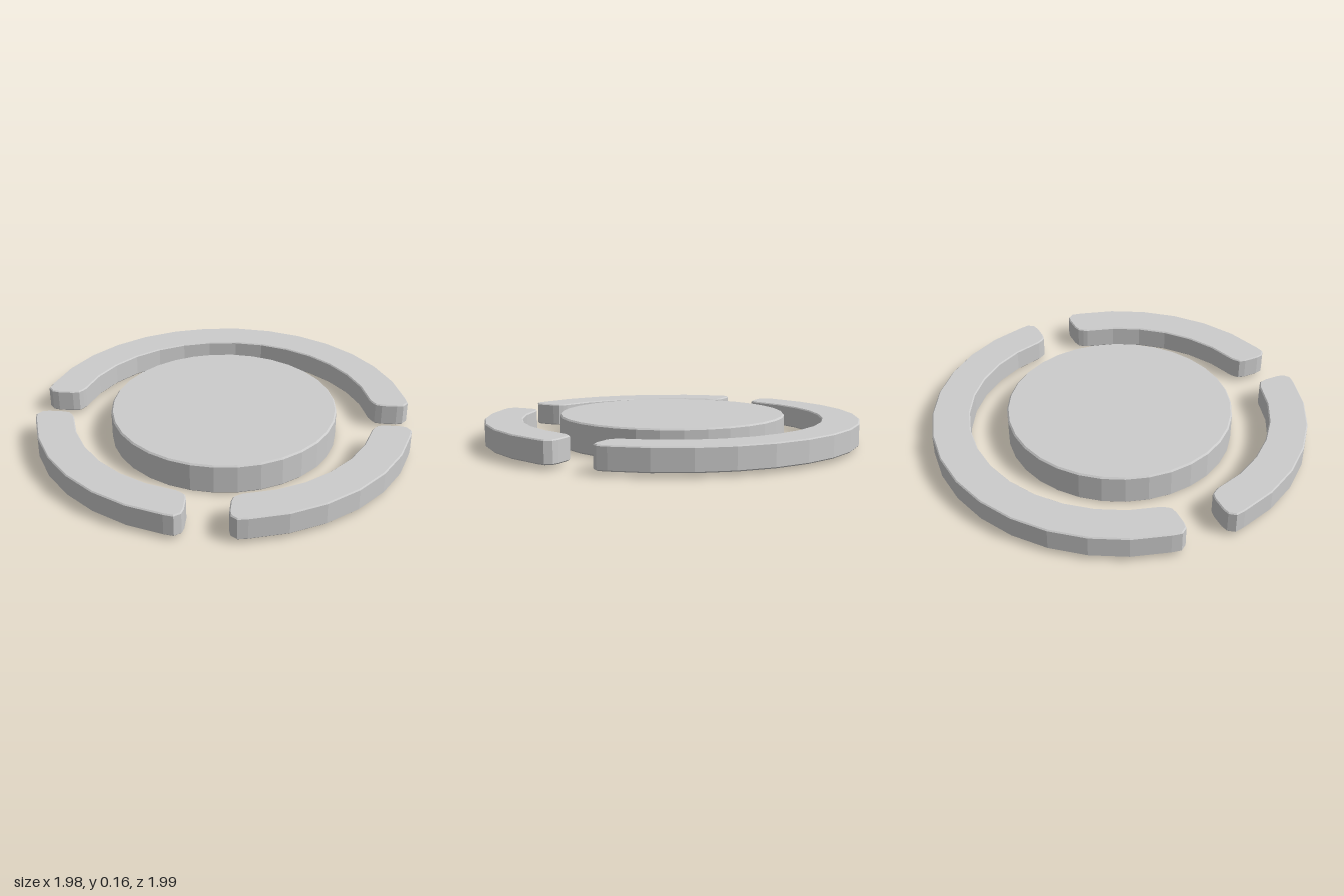
import * as THREE from 'three';

const STEP = Math.PI / 16; // both the disc and the ring are 32-sided
const BEVEL = 0.006;

// Rounded end of a ring segment, outer to inner: [along the radius, across it]
const END = [[0.99, 0.145], [0.965, 0.112], [0.93, 0.104], [0.85, 0.104], [0.815, 0.112], [0.797, 0.135]];

const polar = (r, k) => new THREE.Vector2(r * Math.cos(k * STEP), r * Math.sin(k * STEP));

// End points turned to step k; side is +1 at the start of a segment, -1 at its end
const endPoints = (k, side) => END.map(([u, v]) =>
  new THREE.Vector2(u, v * side).rotateAround(new THREE.Vector2(), k * STEP));

// Ring segment between two gap centres, given in steps from +x towards +z
function ringSegment(from, to) {
  const outer = [], inner = [];
  for (let k = from + 1; k < to; k++) {
    outer.push(polar(1, k));
    inner.unshift(polar(0.8, k));
  }
  const outline = [...outer, ...endPoints(to, -1), ...inner, ...endPoints(from, 1).reverse()];
  const geometry = new THREE.ExtrudeGeometry(new THREE.Shape(outline), {
    depth: 0.12 - 2 * BEVEL, bevelThickness: BEVEL, bevelSize: BEVEL,
    bevelOffset: -BEVEL, bevelSegments: 1,
  });
  geometry.rotateX(Math.PI / 2);
  geometry.translate(0, 0.14 - BEVEL, 0);
  return geometry;
}

export function createModel() {
  const model = new THREE.Group();
  const material = new THREE.MeshStandardMaterial({ color: 0xcccccc, flatShading: true });
  const add = (name, geometry) => {
    const mesh = new THREE.Mesh(geometry, material);
    mesh.name = name;
    model.add(mesh);
  };

  // Central disc with a fine bevel
  const profile = [[0, 0], [0.594, 0], [0.602, 0.008], [0.602, 0.152], [0.594, 0.16], [0, 0.16]]
    .map(([r, y]) => new THREE.Vector2(r, y));
  add('centralDisc', new THREE.LatheGeometry(profile, 32));

  // Broken outer ring: two front quarters and one back half
  add('leftFrontArc', ringSegment(0, 8));
  add('rightFrontArc', ringSegment(8, 16));
  add('backArc', ringSegment(16, 32));

  return model;
}
